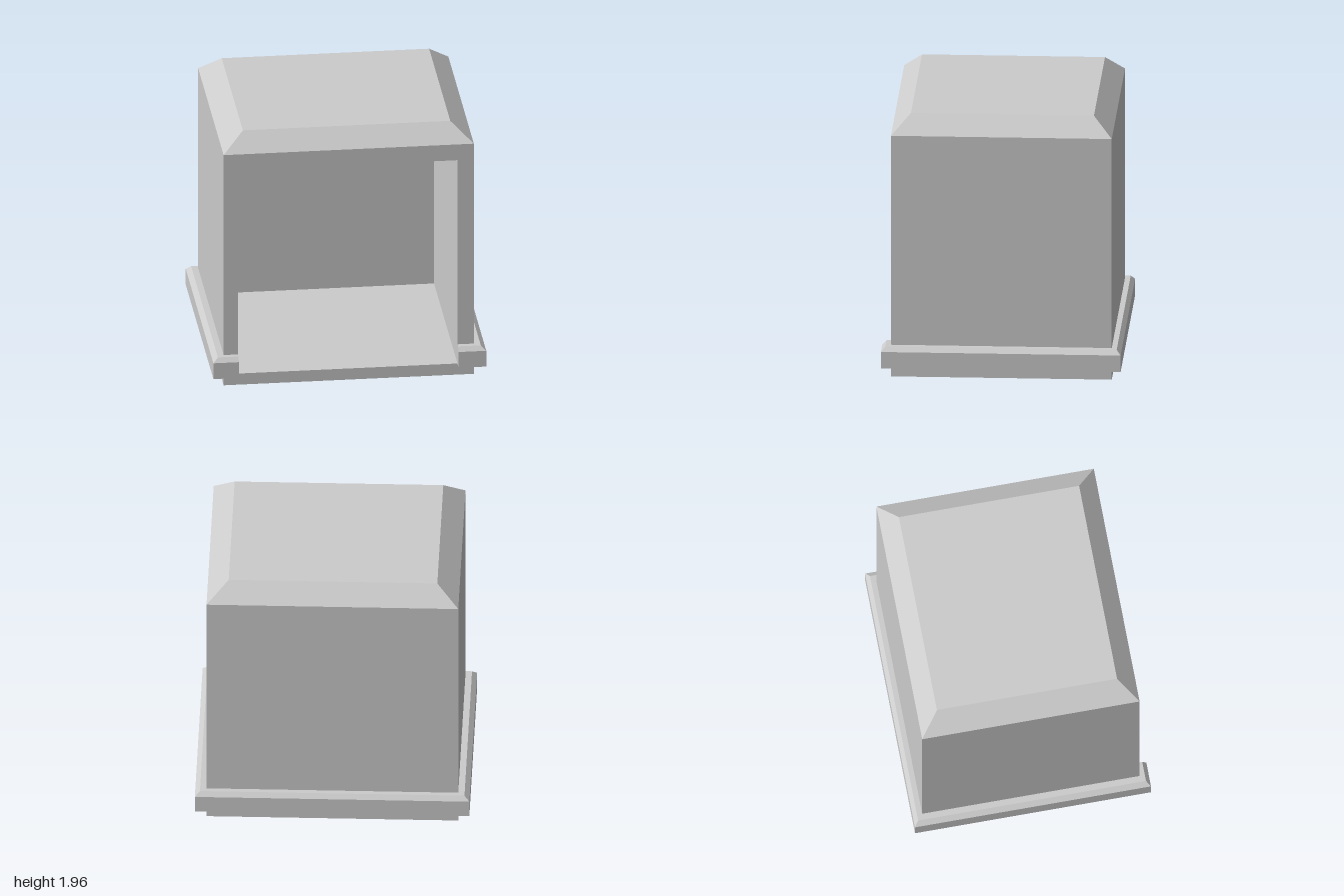
import * as THREE from 'three';

const material = new THREE.MeshStandardMaterial({ color: 0xcccccc, flatShading: true });

// Outer half width, half depth and wall height; opening edges
const W = 0.917, D = 0.805, H = 1.825;
const LEFT = 0.797, RIGHT = -0.813, FLOOR = 0.088, CEILING = 1.70;
const BACK = 0.13; // thickness of the back wall

function addMesh(group, name, geometry) {
  const mesh = new THREE.Mesh(geometry, material);
  mesh.name = name;
  group.add(mesh);
  return mesh;
}

function rectangle(Type, x0, y0, x1, y1) {
  return new Type([[x0, y0], [x1, y0], [x1, y1], [x0, y1]].map(p => new THREE.Vector2(...p)));
}

// Sweeps a convex profile [outward, y] along mitred stations [x, z, outX, outZ]
function sweepMoulding(profile, stations) {
  const positions = [], indices = [], n = profile.length;
  for (const [x, z, ox, oz] of stations) {
    for (const [out, y] of profile) positions.push(x + ox * out, y, z + oz * out);
  }
  for (let i = 0; i < stations.length - 1; i++) {
    for (let j = 0; j < n; j++) {
      const k = (j + 1) % n;
      const a = i * n + j, b = a + n, c = (i + 1) * n + k, d = i * n + k;
      indices.push(a, b, c, a, c, d);
    }
  }
  const last = (stations.length - 1) * n;
  for (let j = 1; j < n - 1; j++) {
    indices.push(0, j, j + 1, last, last + j + 1, last + j);
  }
  const geometry = new THREE.BufferGeometry();
  geometry.setAttribute('position', new THREE.Float32BufferAttribute(positions, 3));
  geometry.setIndex(indices);
  const flat = geometry.toNonIndexed();
  flat.computeVertexNormals();
  return flat;
}

export function createModel() {
  const group = new THREE.Group();
  group.name = 'openBox';

  // Floor, side walls and ceiling around the front opening
  const frame = rectangle(THREE.Shape, -W, 0, W, H);
  frame.holes.push(rectangle(THREE.Path, RIGHT, FLOOR, LEFT, CEILING));
  const shell = new THREE.ExtrudeGeometry(frame, { depth: 2 * D - BACK, bevelEnabled: false });
  addMesh(group, 'shell', shell.translate(0, 0, BACK - D));

  // Closed back
  const back = new THREE.BoxGeometry(2 * W, H, BACK);
  addMesh(group, 'backWall', back.translate(0, H / 2, BACK / 2 - D));

  // Roof cap, tapered by drawing in its top corners
  const roofHeight = 0.13;
  const roof = new THREE.BoxGeometry(2 * W, roofHeight, 2 * D);
  const p = roof.attributes.position;
  for (let i = 0; i < p.count; i++) {
    if (p.getY(i) > 0) {
      p.setX(i, Math.sign(p.getX(i)) * 0.76);
      p.setZ(i, Math.sign(p.getZ(i)) * 0.667);
    }
  }
  roof.computeVertexNormals();
  addMesh(group, 'roof', roof.translate(0, H + roofHeight / 2, 0));

  // Bevelled base moulding round the sides and back, returning to the opening
  const profile = [[0, 0.083], [1, 0.083], [1, 0.208], [0.56, 0.24], [0, 0.24]];
  const ox = 1 - W, oz = 0.069;
  addMesh(group, 'baseMoulding', sweepMoulding(profile, [
    [LEFT, D, 0, oz],
    [W, D, ox, oz],
    [W, -D, ox, -oz],
    [-W, -D, -ox, -oz],
    [-W, D, -ox, oz],
    [RIGHT, D, 0, oz],
  ]));

  return group;
}
